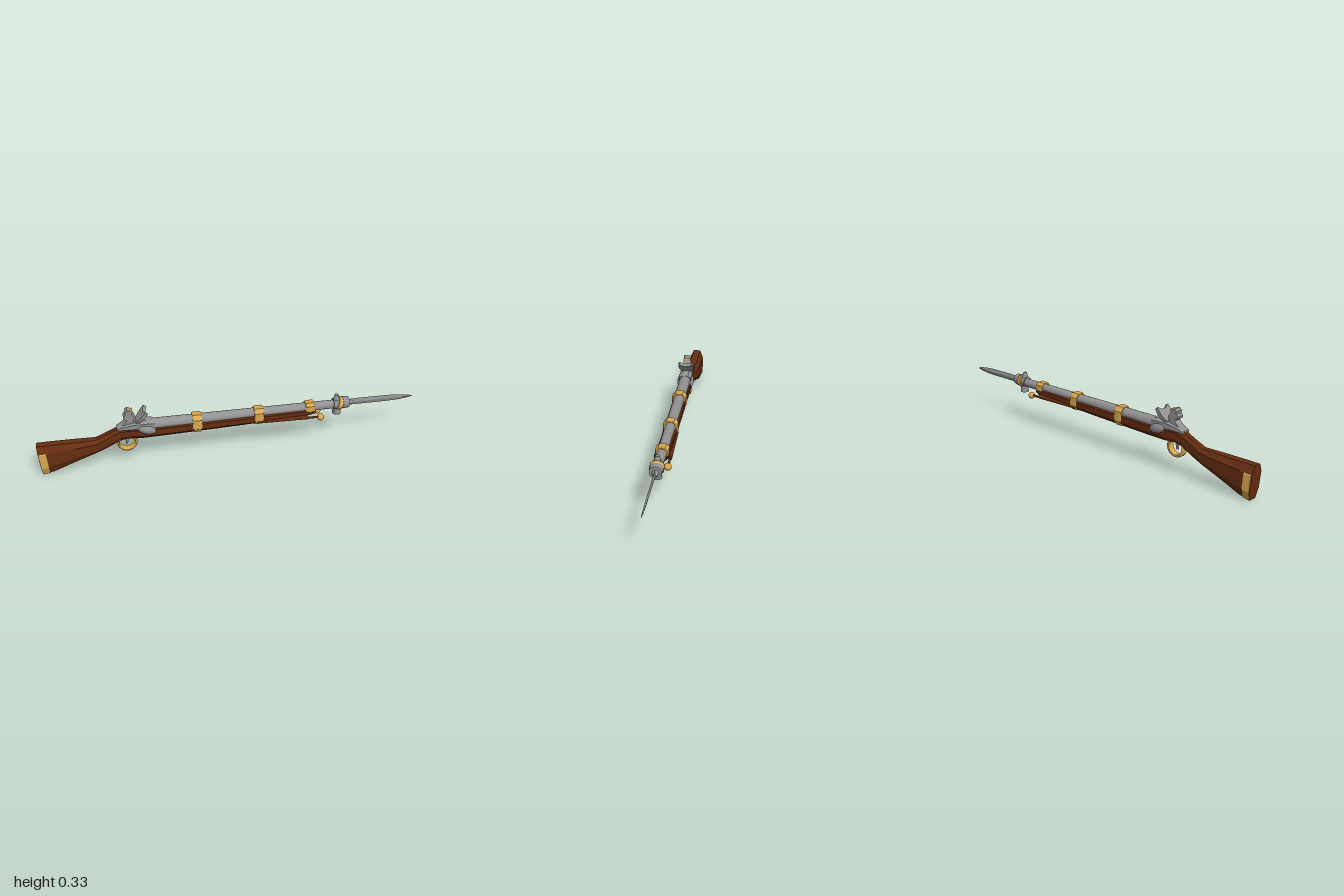
import * as THREE from 'three';

const wood = new THREE.MeshStandardMaterial({ color: 0x662d10 });
const brass = new THREE.MeshStandardMaterial({ color: 0xd9a851 });
const steel = new THREE.MeshStandardMaterial({ color: 0x929292 });
wood.name = 'walnutWood';
brass.name = 'brass';
steel.name = 'steel';

const BARREL_Y = 0.228;

// Chamfered outline in unit (y, z), counter-clockwise about +x
const CHAMFER = [[1, -0.5], [1, 0.5], [0.55, 1], [-0.45, 1], [-1, 0.55], [-1, -0.55], [-0.45, -1], [0.55, -1]];
const DIAMOND = [[1, 0], [0, 1], [-1, 0], [0, -1]];

// Closed body through stations [x, top, bottom, halfWidth, skew]
function loft(stations, outline = CHAMFER) {
  const n = outline.length;
  const rings = stations.map(([x, top, bottom, w, skew = 0]) => outline.map(([u, v]) => {
    const y = (top + bottom) / 2 + u * (top - bottom) / 2;
    return [x + skew * (top - y), y, v * w];
  }));
  const pos = [];
  const tri = (...pts) => pts.forEach((p) => pos.push(...p));
  for (let i = 0; i < rings.length - 1; i++) {
    for (let j = 0; j < n; j++) {
      const k = (j + 1) % n;
      const [a, b, c, d] = [rings[i][j], rings[i][k], rings[i + 1][k], rings[i + 1][j]];
      tri(a, b, c);
      tri(a, c, d);
    }
  }
  const end = rings[rings.length - 1];
  for (let j = 1; j < n - 1; j++) {
    tri(rings[0][0], rings[0][j + 1], rings[0][j]);
    tri(end[0], end[j], end[j + 1]);
  }
  const g = new THREE.BufferGeometry();
  g.setAttribute('position', new THREE.Float32BufferAttribute(pos, 3));
  g.computeVertexNormals();
  return g;
}

// Cylinder lying along x, r0 at x0 and r1 at x1
function rod(x0, x1, r0, r1 = r0, sides = 20) {
  const g = new THREE.CylinderGeometry(r1, r0, x1 - x0, sides);
  g.rotateZ(-Math.PI / 2);
  g.translate((x0 + x1) / 2, 0, 0);
  return g;
}

function plate(points, depth) {
  const shape = new THREE.Shape(points.map(([x, y]) => new THREE.Vector2(x, y)));
  const g = new THREE.ExtrudeGeometry(shape, { depth, bevelEnabled: false });
  g.translate(0, 0, -depth / 2);
  return g;
}

export function createModel() {
  const model = new THREE.Group();
  model.name = 'musket';
  const add = (name, geometry, material, x = 0, y = 0, z = 0) => {
    const m = new THREE.Mesh(geometry, material);
    m.name = name;
    m.position.set(x, y, z);
    model.add(m);
    return m;
  };

  // Wooden stock: butt, wrist and fore-end
  add('stock', loft([
    [-1, 0.175, 0.005, 0.037, 0.09],
    [-0.94, 0.175, 0.013, 0.039, 0.06],
    [-0.8, 0.174, 0.063, 0.037],
    [-0.7, 0.173, 0.097, 0.031],
    [-0.64, 0.2, 0.122, 0.026],
    [-0.58, 0.228, 0.153, 0.027],
    [-0.54, 0.232, 0.163, 0.029],
    [-0.47, 0.23, 0.158, 0.033],
    [-0.35, 0.228, 0.16, 0.034],
    [-0.1, 0.228, 0.166, 0.034],
    [0.2, 0.228, 0.174, 0.033],
    [0.43, 0.224, 0.186, 0.029],
    [0.455, 0.22, 0.19, 0.024],
  ]), wood);
  add('buttBand', loft([
    [-0.997, 0.168, 0.001, 0.0395, 0.09],
    [-0.957, 0.168, 0.008, 0.0415, 0.07],
  ]), brass);

  // Barrel with open muzzle collar
  add('barrel', rod(-0.5, 0.57, 0.031, 0.023, 24), steel, 0, BARREL_Y);

  // Barrel bands
  for (const [x, top, bottom, w] of [[-0.178, 0.262, 0.161, 0.038], [0.147, 0.26, 0.168, 0.037], [0.424, 0.26, 0.197, 0.032]]) {
    add('barrelBand', loft([
      [x - 0.024, top - 0.003, bottom + 0.003, w - 0.003],
      [x - 0.018, top, bottom, w],
      [x + 0.018, top, bottom, w],
      [x + 0.024, top - 0.003, bottom + 0.003, w - 0.003],
    ]), brass);
  }

  // Side rods with ball tips
  for (const s of [-1, 1]) {
    add('sideRod', rod(0.14, 0.41, 0.006, 0.012, 12), wood, 0, 0.185, s * 0.033);
    add('rodNeck', rod(0.4, 0.48, 0.006, 0.006, 10), wood, 0, 0.18, s * 0.034);
    add('rodTip', new THREE.SphereGeometry(0.0185, 20, 14), brass, 0.48, 0.177, s * 0.034);
  }

  // Trigger guard: wide flat ring
  const ring = new THREE.LatheGeometry([[0.04, -0.017], [0.049, -0.019], [0.053, -0.01], [0.053, 0.01],
    [0.049, 0.019], [0.04, 0.017], [0.04, -0.017]].map(([r, y]) => new THREE.Vector2(r, y)), 32);
  ring.rotateX(Math.PI / 2);
  add('triggerGuard', ring, brass, -0.542, 0.139);
  const trigger = add('trigger', new THREE.BoxGeometry(0.01, 0.05, 0.01), steel, -0.54, 0.15);
  trigger.rotation.z = -0.2;

  // Lock housing and pans
  add('lockHousing', loft([
    [-0.59, 0.232, 0.215, 0.024],
    [-0.56, 0.25, 0.215, 0.03],
    [-0.5, 0.262, 0.21, 0.033],
    [-0.44, 0.264, 0.205, 0.035],
    [-0.4, 0.258, 0.21, 0.032],
  ]), steel);
  for (const s of [-1, 1]) {
    const pan = add('pan', new THREE.SphereGeometry(1, 20, 14), steel, -0.438, 0.214, s * 0.026);
    pan.scale.set(0.05, 0.026, 0.02);
    pan.rotation.z = -0.3;
  }

  // Cock holding the flint
  add('cock', plate([[-0.57, 0.24], [-0.49, 0.24], [-0.505, 0.268], [-0.495, 0.29], [-0.508, 0.302],
    [-0.517, 0.327], [-0.533, 0.331], [-0.545, 0.32], [-0.543, 0.306], [-0.554, 0.296], [-0.552, 0.284],
    [-0.535, 0.272]], 0.042), steel);
  add('flint', new THREE.BoxGeometry(0.02, 0.014, 0.034), brass, -0.515, 0.319);

  // Frizzen: tilted plate with two horns
  const frizzenGeo = plate([[-0.024, -0.01], [0.024, -0.01], [0.034, 0.018], [0.042, 0.045], [0.041, 0.071],
    [0.034, 0.077], [0.022, 0.066], [0, 0.06], [-0.022, 0.066], [-0.034, 0.077], [-0.041, 0.071],
    [-0.042, 0.045], [-0.034, 0.018]], 0.018);
  frizzenGeo.rotateY(Math.PI / 2);
  const frizzen = add('frizzen', frizzenGeo, steel, -0.483, 0.258);
  frizzen.rotation.z = -0.66;

  // Bayonet socket, locking ring, lugs and blade
  add('bayonetSocket', rod(0.555, 0.615, 0.029, 0.031), steel, 0, 0.231);
  add('socketCollar', rod(0.605, 0.638, 0.033, 0.03), steel, 0, 0.233);
  const lock = add('lockingRing', rod(-0.012, 0.012, 0.035), brass, 0.588, 0.232);
  lock.rotation.z = -0.35;
  add('socketLug', new THREE.CylinderGeometry(0.02, 0.023, 0.05, 16), steel, 0.578, 0.197);
  add('socketSight', new THREE.CylinderGeometry(0.01, 0.019, 0.035, 12), steel, 0.572, 0.268);
  add('bladeNeck', rod(0.63, 0.665, 0.02, 0.008, 12), steel, 0, 0.231);
  add('bayonetBlade', loft([
    [0.63, 0.248, 0.213, 0.005],
    [0.7, 0.25, 0.212, 0.005],
    [0.86, 0.248, 0.211, 0.005],
    [0.93, 0.243, 0.214, 0.004],
    [0.975, 0.236, 0.22, 0.003],
    [1, 0.229, 0.227, 0.001],
  ], DIAMOND), steel);

  return model;
}
